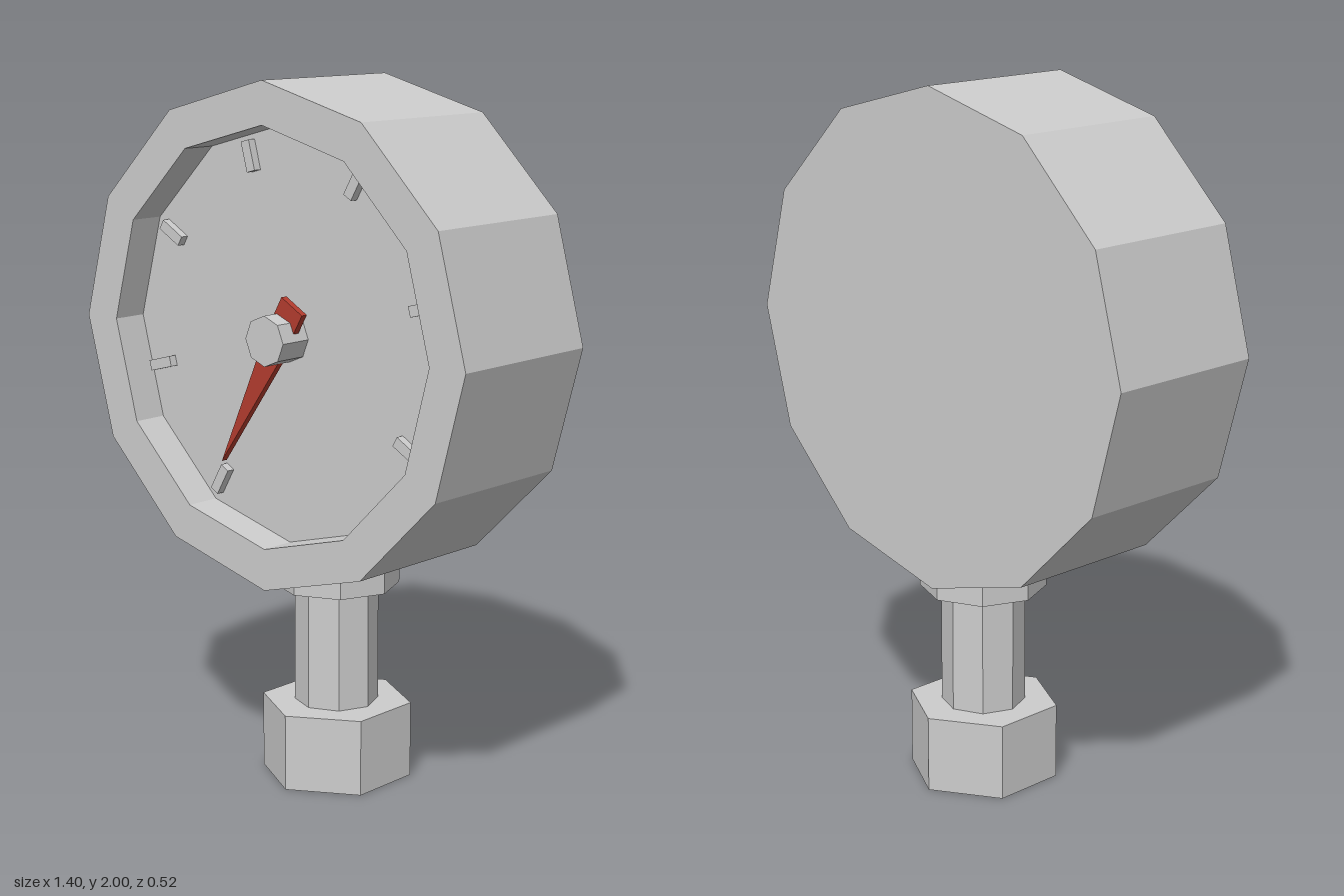
import * as THREE from 'three';

const metal = new THREE.MeshStandardMaterial({ color: 0xcccccc });
metal.name = 'light grey metal';
const red = new THREE.MeshStandardMaterial({ color: 0xb33c2e });
red.name = 'pointer red';

const CENTRE_Y = 1.305; // dial axis height
const FLOOR_Z = 0.155; // recessed dial surface
const STEM_Z = -0.04; // stem axis depth

// Faceted mesh: every face gets its own normal
function part(name, geometry, material) {
  const flat = geometry.index ? geometry.toNonIndexed() : geometry;
  flat.computeVertexNormals();
  const mesh = new THREE.Mesh(flat, material);
  mesh.name = name;
  return mesh;
}

// Upright prism on the stem axis
function stemPart(name, radius, bottom, top, sides) {
  const mesh = part(name, new THREE.CylinderGeometry(radius, radius, top - bottom, sides), metal);
  mesh.position.set(0, (bottom + top) / 2, STEM_Z);
  return mesh;
}

export function createModel() {
  const model = new THREE.Group();
  model.name = 'pressureGauge';

  // Threaded connection: hex nut, stem and collar
  model.add(stemPart('hexNut', 0.218, 0, 0.22, 6));
  model.add(stemPart('stem', 0.12, 0.22, 0.57, 8));
  model.add(stemPart('collar', 0.18, 0.567, 0.72, 8));

  const dial = new THREE.Group();
  dial.name = 'dial';
  dial.position.y = CENTRE_Y;
  model.add(dial);

  // Twelve-sided case with raised rim and recessed face
  const profile = [
    [0, -0.24], [0.698, -0.24], [0.698, 0.26], [0.58, 0.26], [0.58, FLOOR_Z], [0, FLOOR_Z],
  ].map(([r, z]) => new THREE.Vector2(r, z));
  dial.add(part('case', new THREE.LatheGeometry(profile, 12).rotateX(Math.PI / 2), metal));

  // Seven raised scale marks, 45 degrees apart
  const marks = new THREE.Group();
  marks.name = 'scaleMarks';
  for (let i = 0; i < 7; i++) {
    const angle = THREE.MathUtils.degToRad(-30 + i * 45);
    const mark = part('scaleMark', new THREE.BoxGeometry(0.085, 0.03, 0.024), metal);
    mark.position.set(0.503 * Math.cos(angle), 0.503 * Math.sin(angle), FLOOR_Z + 0.012);
    mark.rotation.z = angle;
    marks.add(mark);
  }
  dial.add(marks);

  // Pointer: straight tail and long tapering tip
  const outline = new THREE.Shape(
    [[-0.11, -0.043], [0, -0.043], [0.43, 0], [0, 0.043], [-0.11, 0.043]]
      .map(([x, y]) => new THREE.Vector2(x, y)),
  );
  const pointer = part('pointer', new THREE.ExtrudeGeometry(outline, { depth: 0.02, bevelEnabled: false }), red);
  pointer.position.z = 0.185;
  pointer.rotation.z = THREE.MathUtils.degToRad(240);
  dial.add(pointer);

  // Pointer hub
  const hub = part('hub', new THREE.CylinderGeometry(0.07, 0.07, 0.1, 8).rotateX(Math.PI / 2), metal);
  hub.position.z = FLOOR_Z + 0.05;
  dial.add(hub);

  return model;
}
